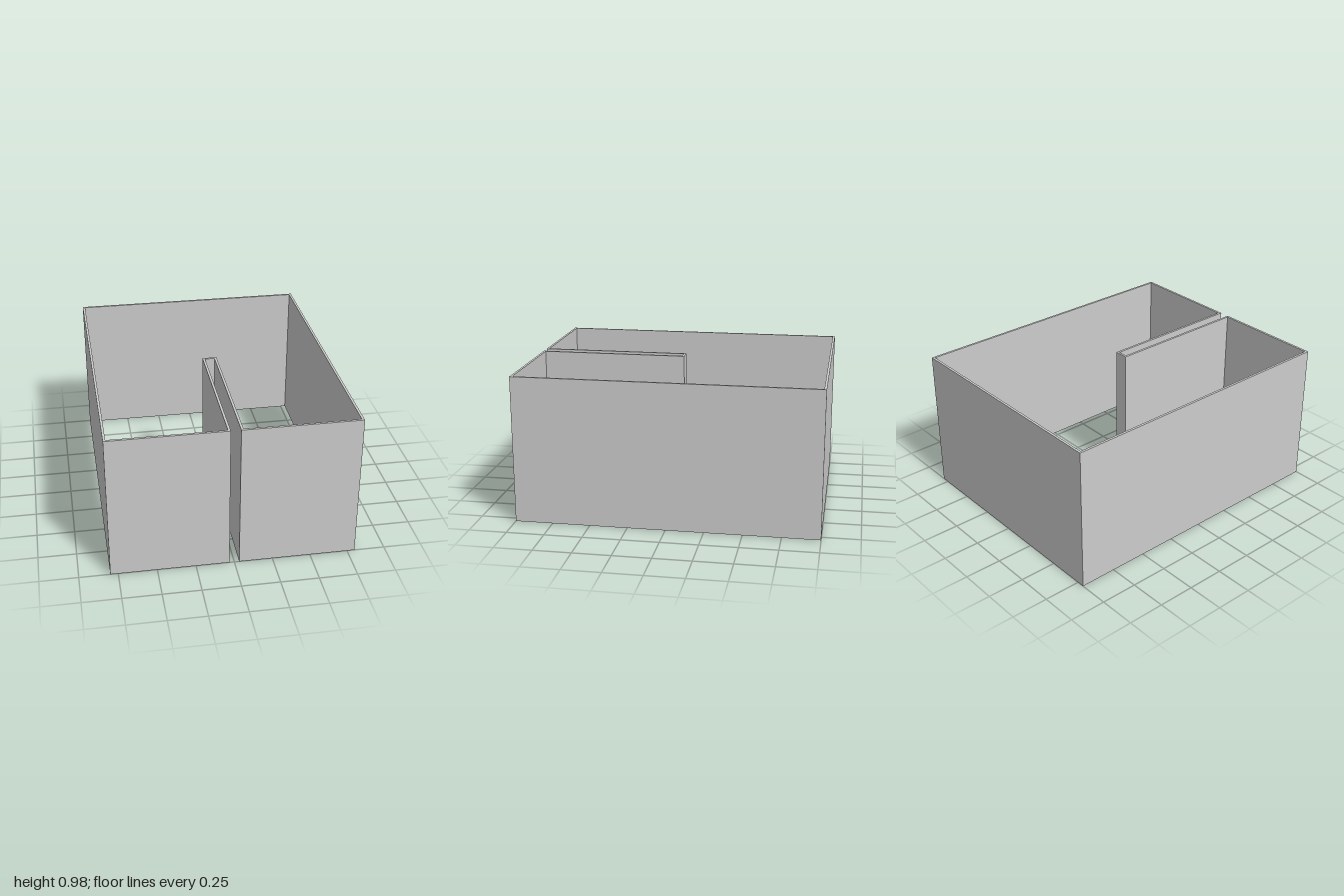
import * as THREE from 'three';

const HEIGHT = 0.98;
const WALL = 0.016;
const HALF_W = 0.8;
const HALF_D = 1;
const SLOT = 0.032; // half width of the open front slot

// Plan outline of the slotted box, shrunk inward by a given inset (y = -z)
function outline(inset) {
  const x = HALF_W - inset, z = HALF_D - inset, s = SLOT + inset;
  return [
    [-x, -z], [-s, -z], [-s, inset], [s, inset],
    [s, -z], [x, -z], [x, z], [-x, z],
  ].map(([px, py]) => new THREE.Vector2(px, py));
}

export function createModel() {
  const model = new THREE.Group();
  model.name = 'slottedEnclosure';

  // One continuous thin wall, open at top and bottom, folding in around the slot
  const plan = new THREE.Shape(outline(0));
  // Slot end wall lies between z = 0 and z = WALL
  plan.curves.length = 0;
  const shift = (p) => (Math.abs(p.y) < 0.1 ? new THREE.Vector2(p.x, p.y - WALL) : p);
  plan.setFromPoints(outline(0).map(shift));
  plan.holes.push(new THREE.Path(outline(WALL).map(shift)));

  const geometry = new THREE.ExtrudeGeometry(plan, { depth: HEIGHT, bevelEnabled: false });
  geometry.rotateX(-Math.PI / 2);

  const wall = new THREE.Mesh(geometry, new THREE.MeshStandardMaterial({ color: 0xcccccc }));
  wall.name = 'perimeterWall';
  model.add(wall);
  return model;
}
